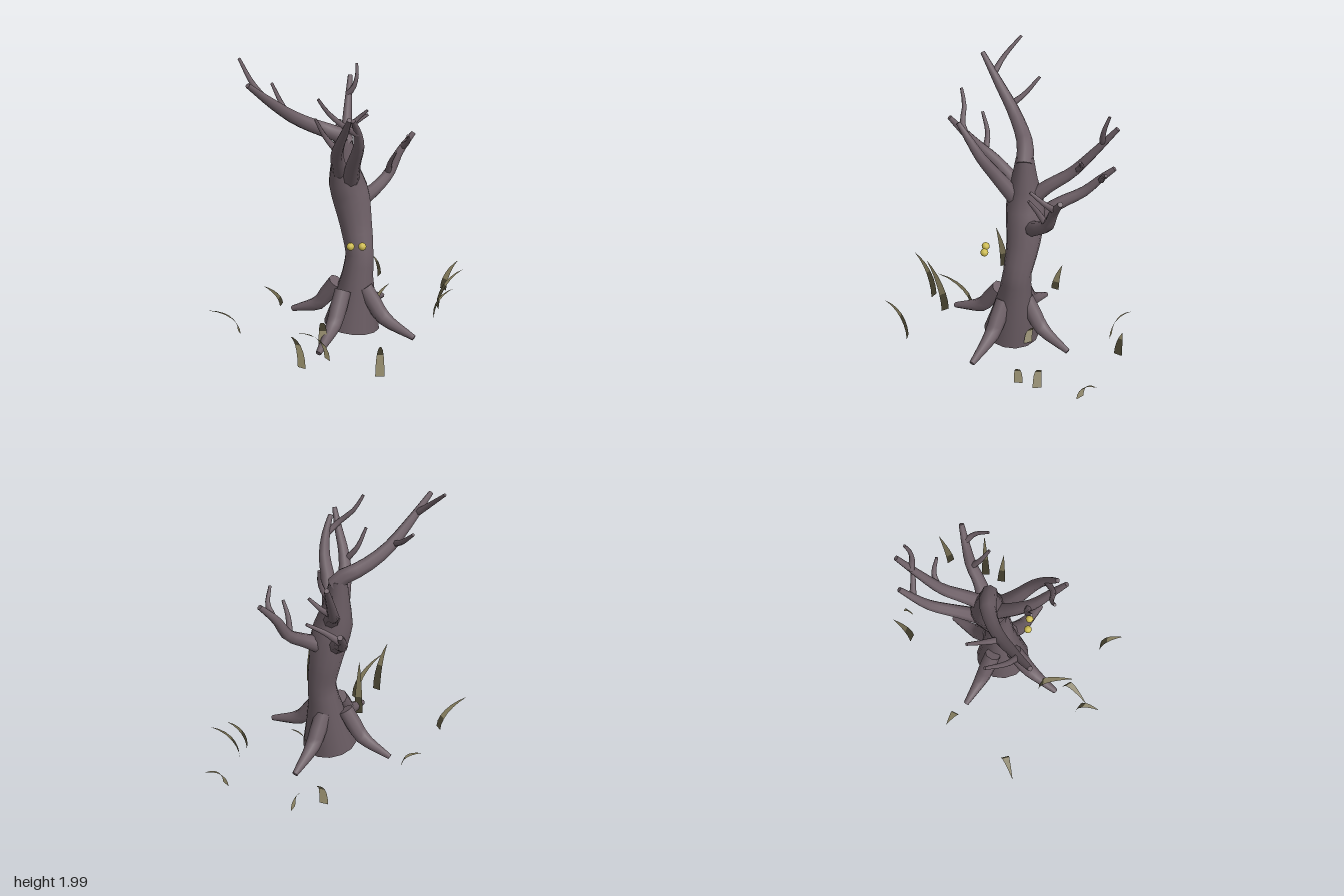
import * as THREE from 'three';
import { mergeGeometries } from 'three/addons/utils/BufferGeometryUtils.js';

const bark = new THREE.MeshStandardMaterial({ color: 0x6e6067, side: THREE.DoubleSide });
bark.name = 'bark';
const grass = new THREE.MeshStandardMaterial({ color: 0x7d7557, side: THREE.DoubleSide });
grass.name = 'dryGrass';
const yellow = new THREE.MeshStandardMaterial({ color: 0xcfbd50 });
yellow.name = 'glowYellow';

// Tapered tube through points [x, y, z, radius], capped at the tip and optionally at the start
function limb(name, points, sides = 8, steps = 8, capStart = true) {
  const curve = new THREE.CatmullRomCurve3(points.map((p) => new THREE.Vector3(p[0], p[1], p[2])));
  const tube = new THREE.TubeGeometry(curve, steps, 1, sides);
  const pos = tube.attributes.position;
  const last = points.length - 1;
  const v = new THREE.Vector3();
  for (let i = 0; i <= steps; i++) {
    const t = curve.getUtoTmapping(i / steps) * last;
    const k = Math.min(Math.floor(t), last - 1);
    const r = THREE.MathUtils.lerp(points[k][3], points[k + 1][3], t - k);
    const c = curve.getPointAt(i / steps);
    for (let j = 0; j <= sides; j++) {
      const n = i * (sides + 1) + j;
      v.fromBufferAttribute(pos, n).sub(c).multiplyScalar(r).add(c);
      pos.setXYZ(n, v.x, v.y, v.z);
    }
  }
  // Fan cap over one ring
  const cap = (ring, flip) => {
    const c = curve.getPointAt(ring / steps);
    const out = [];
    for (let j = 0; j < sides; j++) {
      const a = ring * (sides + 1) + j;
      const pair = flip ? [a + 1, a] : [a, a + 1];
      out.push(c.x, c.y, c.z);
      pair.forEach((n) => out.push(pos.getX(n), pos.getY(n), pos.getZ(n)));
    }
    const g = new THREE.BufferGeometry();
    g.setAttribute('position', new THREE.Float32BufferAttribute(out, 3));
    g.computeVertexNormals();
    // Check that the cap faces outward along the limb
    const dir = curve.getTangentAt(ring / steps).multiplyScalar(ring ? 1 : -1);
    return { g, outward: v.fromBufferAttribute(g.attributes.normal, 0).dot(dir) > 0 };
  };
  const caps = (capStart ? [0, steps] : [steps]).map((ring) => {
    const first = cap(ring, false);
    return first.outward ? first.g : cap(ring, true).g;
  });
  const side = tube.toNonIndexed();
  side.deleteAttribute('uv');
  const mesh = new THREE.Mesh(mergeGeometries([side, ...caps]), bark);
  mesh.name = name;
  return mesh;
}

// Blade bending from its foot (x, z) to its tip (x, z) at the given height
function blade([bx, bz, tx, tz, top]) {
  const dx = tx - bx, dz = tz - bz, len = Math.hypot(dx, dz);
  const ux = dx / len, uz = dz / len;
  const pos = [], normal = [], index = [], steps = 6;
  for (let i = 0; i <= steps; i++) {
    const a = (i / steps) * 1.2;
    const f = (1 - Math.cos(a)) / (1 - Math.cos(1.2));
    const y = 0.045 + (top - 0.045) * Math.sin(a) / Math.sin(1.2);
    const w = 0.03 * (1 - f * 0.98);
    for (const s of [-1, 1]) {
      pos.push(bx + dx * f - s * uz * w, y, bz + dz * f + s * ux * w);
      normal.push(ux * 0.5, 0.866, uz * 0.5); // soft upward normals
    }
    if (i < steps) {
      const n = i * 2;
      index.push(n, n + 1, n + 2, n + 1, n + 3, n + 2);
    }
  }
  const g = new THREE.BufferGeometry();
  g.setAttribute('position', new THREE.Float32BufferAttribute(pos, 3));
  g.setAttribute('normal', new THREE.Float32BufferAttribute(normal, 3));
  g.setIndex(index);
  const mesh = new THREE.Mesh(g, grass);
  mesh.name = 'grassBlade';
  return mesh;
}

export function createModel() {
  const tree = new THREE.Group();
  tree.name = 'deadTree';

  // Leaning trunk, flared and open at the foot
  tree.add(limb('trunk', [
    [0.085, 0.04, -0.02, 0.2], [0.105, 0.22, -0.035, 0.155], [0.125, 0.42, -0.05, 0.112],
    [0.138, 0.57, -0.063, 0.098], [0.11, 0.8, -0.1, 0.115], [0.075, 1.0, -0.11, 0.135],
    [0.045, 1.11, -0.105, 0.125], [0.03, 1.25, -0.1, 0.09], [0.02, 1.42, -0.1, 0.058],
  ], 14, 18, false));

  // Large branches
  const branches = {
    mainBranch: [[0.05, 1.38, -0.1, 0.058], [-0.02, 1.45, -0.1, 0.057], [-0.12, 1.49, -0.08, 0.053],
      [-0.29, 1.59, 0, 0.045], [-0.43, 1.72, 0.11, 0.034], [-0.585, 1.89, 0.245, 0.017]],
    frontRightBranch: [[0, 1.2, -0.04, 0.055], [-0.02, 1.36, 0.1, 0.044], [-0.01, 1.46, 0.2, 0.036],
      [0.03, 1.6, 0.31, 0.026], [0.055, 1.705, 0.39, 0.016]],
    frontLeftBranch: [[0.07, 1.12, -0.05, 0.06], [0.09, 1.3, 0.08, 0.049], [0.12, 1.45, 0.18, 0.038],
      [0.11, 1.58, 0.26, 0.027], [0.08, 1.68, 0.33, 0.016]],
    upperBackBranch: [[0.07, 1.1, -0.12, 0.06], [0.06, 1.22, -0.25, 0.05], [0.05, 1.33, -0.41, 0.04],
      [0.06, 1.48, -0.54, 0.03], [0.08, 1.685, -0.7, 0.017]],
    lowerBackBranch: [[0.04, 0.94, -0.16, 0.06], [0.01, 1.06, -0.32, 0.046], [-0.01, 1.16, -0.5, 0.037],
      [-0.01, 1.26, -0.6, 0.028], [0, 1.35, -0.695, 0.018]],
    leftBranch: [[0.14, 0.94, -0.15, 0.06], [0.25, 1.01, -0.2, 0.047], [0.35, 1.1, -0.28, 0.04],
      [0.42, 1.24, -0.32, 0.03], [0.52, 1.365, -0.365, 0.018]],
  };
  for (const [name, points] of Object.entries(branches)) tree.add(limb(name, points, 8, 10));

  // Twigs growing from the branches
  const twigs = [
    [[-0.49, 1.78, 0.16], [-0.57, 1.87, 0.1], [-0.655, 1.995, -0.015]],
    [[-0.34, 1.62, 0.03], [-0.39, 1.68, -0.06], [-0.455, 1.785, -0.16]],
    [[-0.02, 1.42, 0.17], [-0.1, 1.52, 0.16], [-0.16, 1.65, 0.2]],
    [[0.11, 1.57, 0.26], [0.02, 1.64, 0.31], [-0.08, 1.73, 0.31], [-0.14, 1.825, 0.335]],
    [[0.06, 1.57, -0.61], [0.1, 1.62, -0.605], [0.125, 1.7, -0.615], [0.125, 1.79, -0.645]],
    [[0.05, 1.35, -0.44], [0.12, 1.42, -0.48], [0.2, 1.495, -0.47]],
    [[0, 1.26, -0.61], [0.1, 1.34, -0.62], [0.21, 1.41, -0.64]],
    [[0.44, 1.27, -0.33], [0.475, 1.33, -0.27], [0.465, 1.41, -0.17]],
    [[0.34, 1.1, -0.27], [0.35, 1.2, -0.21], [0.385, 1.295, -0.155]],
  ];
  for (const path of twigs) {
    const points = path.map((p, i) => [...p, 0.024 - 0.014 * i / (path.length - 1)]);
    tree.add(limb('twig', points, 6, 6));
  }

  // Roots spread from the trunk to the ground
  for (const [x, z] of [[-0.345, -0.235], [0.515, 0.215], [0.32, -0.435], [-0.15, 0.42]]) {
    const at = (f, y, r) => [0.07 + (x - 0.07) * f, y, -0.03 + (z + 0.03) * f, r];
    tree.add(limb('root', [at(0.23, 0.35, 0.058), at(0.37, 0.25, 0.06), at(0.53, 0.15, 0.054),
      at(1, 0.05, 0.02)], 8, 8));
  }

  // Pair of small floating eyes
  for (const x of [0.07, 0.15]) {
    const eye = new THREE.Mesh(new THREE.IcosahedronGeometry(0.028, 1), yellow);
    eye.name = 'eye';
    eye.position.set(x, 0.73, 0.163);
    tree.add(eye);
  }

  // Grass around the tree: foot x, z, tip x, z, tip height
  const blades = [
    [0.11, -0.73, 0.15, -0.86, 0.3], [0.315, -0.785, 0.265, -0.81, 0.2], [0.24, -0.15, 0.36, -0.205, 0.265],
    [0.79, -0.54, 0.905, -0.645, 0.235], [0.72, -0.25, 0.905, -0.285, 0.34], [0.68, -0.12, 0.81, -0.12, 0.26],
    [-0.43, -0.3, -0.56, -0.345, 0.175], [-0.71, 0.115, -0.91, 0.2, 0.265], [-0.26, 0.6, -0.34, 0.745, 0.37],
    [-0.09, 0.49, -0.295, 0.65, 0.335], [0.255, 0.71, 0.25, 0.855, 0.35], [-0.12, 0.29, -0.125, 0.535, 0.34],
  ];
  blades.forEach((b) => tree.add(blade(b)));

  return tree;
}
